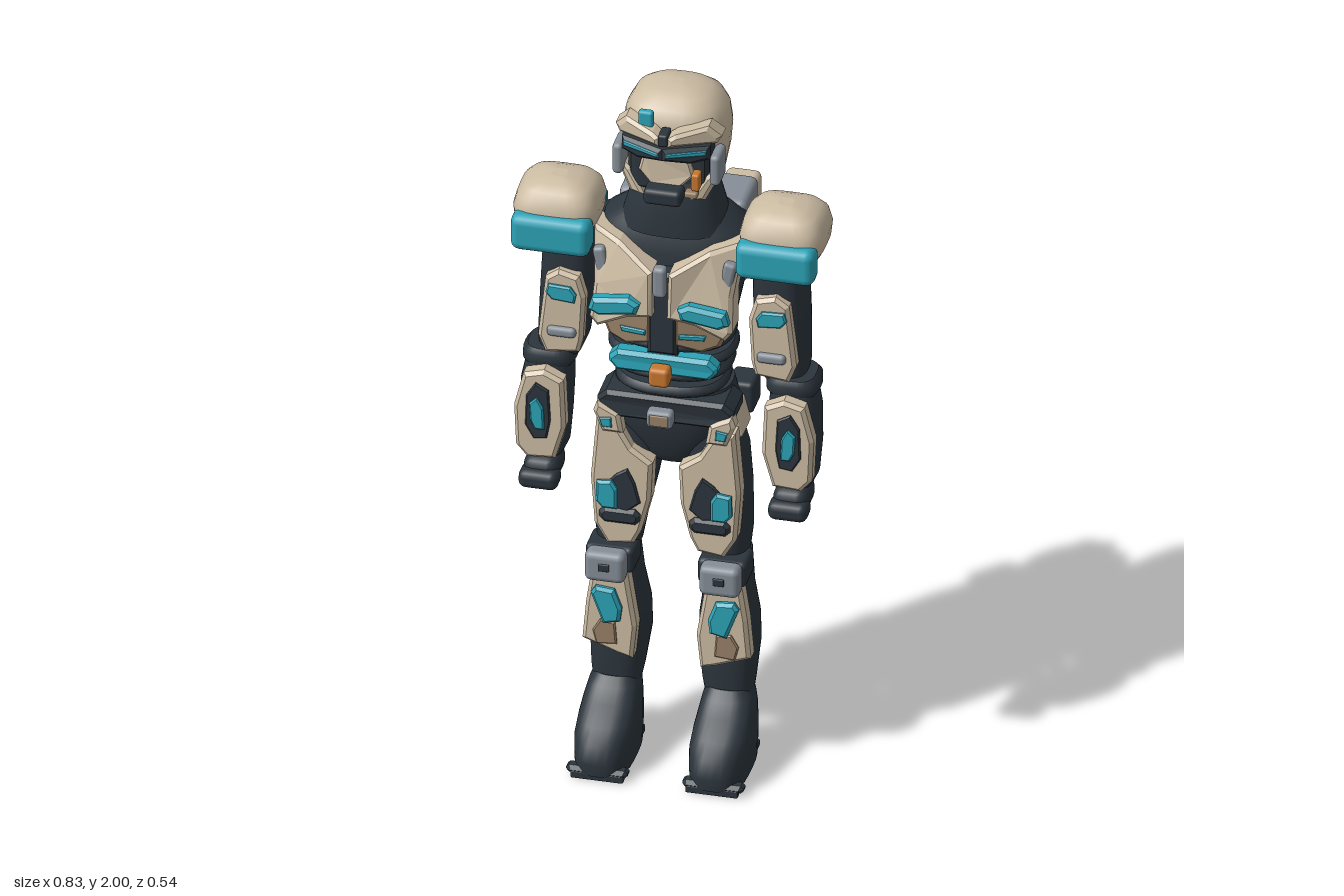
import * as THREE from 'three';
import { RoundedBoxGeometry } from 'three/addons/geometries/RoundedBoxGeometry.js';

const material = (name, color) => {
  const m = new THREE.MeshStandardMaterial({ color });
  m.name = name;
  return m;
};

export function createModel() {
  const root = new THREE.Group();
  root.name = 'armoredTrooper';
  const sand = material('sand', 0xcdbda4), dark = material('charcoal', 0x2c353d);
  const teal = material('teal', 0x2ba4b8), grey = material('grey', 0x868e97);
  const brown = material('brown', 0x9a8268), orange = material('orange', 0xc87830);

  const add = (name, mat, geo) => {
    const mesh = new THREE.Mesh(geo, mat);
    mesh.name = name;
    root.add(mesh);
    return mesh;
  };

  // Rounded box from centre and size
  const box = (name, mat, [x, y, z], [w, h, d], r = 0.012, tilt = 0) => {
    const geo = new RoundedBoxGeometry(w, h, d, 2, Math.min(r, w / 2.1, h / 2.1, d / 2.1));
    const mesh = add(name, mat, geo);
    mesh.position.set(x, y, z);
    mesh.rotation.z = tilt;
    return mesh;
  };

  // Smooth body from superellipse rings [y, rx, rz, cx, cz], bottom to top, with closed ends
  const loft = (name, mat, rings, s = 1, e = 2.5, n = 32) => {
    const first = rings[0], last = rings[rings.length - 1];
    const flat = r => [r[0], 0.0005, 0.0005, r[3], r[4]];
    const all = [flat(first), first, ...rings, last, flat(last)];
    const pos = [], index = [];
    const pw = v => Math.sign(v) * Math.abs(v) ** (2 / e);
    all.forEach(([y, rx, rz, cx = 0, cz = 0], j) => {
      for (let i = 0; i < n; i++) {
        const a = (i / n) * Math.PI * 2;
        pos.push(cx * s + pw(Math.cos(a)) * rx, y, cz + pw(Math.sin(a)) * rz);
        if (j === all.length - 1) continue;
        const p = j * n + i, q = j * n + (i + 1) % n;
        index.push(p, p + n, q, q, p + n, q + n);
      }
    });
    const geo = new THREE.BufferGeometry();
    geo.setAttribute('position', new THREE.Float32BufferAttribute(pos, 3));
    geo.setIndex(index);
    geo.computeVertexNormals();
    return add(name, mat, geo);
  };

  // Bevelled armour plate; z is its front face, bend(x, y) pushes it backwards
  const plate = (name, mat, pts, z, depth, s = 1, bend = null) => {
    const b = Math.min(0.01, depth / 3);
    const shape = new THREE.Shape(pts.map(([x, y]) => new THREE.Vector2(x * s, y)));
    const geo = new THREE.ExtrudeGeometry(shape, {
      depth: depth - 2 * b, bevelThickness: b, bevelSize: b, bevelOffset: -b, bevelSegments: 1,
    });
    geo.translate(0, 0, z - depth + b);
    if (bend) {
      const p = geo.attributes.position;
      for (let i = 0; i < p.count; i++) p.setZ(i, p.getZ(i) - bend(p.getX(i), p.getY(i)));
      geo.computeVertexNormals();
    }
    return add(name, mat, geo);
  };
  const slant = k => x => Math.abs(x) * k;
  // Rectangle with cut corners
  const octagon = (x0, x1, y0, y1, c) => [[x0 + c, y0], [x1 - c, y0], [x1, y0 + c], [x1, y1 - c],
    [x1 - c, y1], [x0 + c, y1], [x0, y1 - c], [x0, y0 + c]];

  // Torso, neck and pelvis
  loft('torso', dark, [[1.05, .15, .095, 0, .02], [1.15, .135, .09, 0, .02], [1.25, .145, .1, 0, .02],
    [1.35, .165, .115, 0, .015], [1.45, .185, .125, 0, .01], [1.55, .205, .12, 0, .005],
    [1.6, .19, .105, 0, 0], [1.64, .13, .09, 0, 0]]);
  loft('neckCollar', dark, [[1.6, .145, .11, 0, .01], [1.66, .128, .105, 0, .01], [1.71, .115, .095, 0, .01],
    [1.75, .1, .085, 0, .01]]);
  loft('pelvis', dark, [[.89, .06, .055, 0, .02], [.92, .095, .075, 0, .02], [1, .15, .1, 0, .02],
    [1.07, .17, .105, 0, .02], [1.13, .155, .1, 0, .02]]);
  for (const [y, rx] of [[1.15, .15], [1.2, .16], [1.245, .17], [1.29, .165]])
    loft('waistRib', dark, [[y - .016, rx - .01, .115, 0, .035], [y - .006, rx, .125, 0, .035],
      [y + .006, rx, .125, 0, .035], [y + .016, rx - .01, .115, 0, .035]]);

  // Helmet and face
  loft('helmet', sand, [[1.69, .07, .06, 0, -.005], [1.705, .1, .085, 0, -.005], [1.75, .122, .108, 0, -.008],
    [1.82, .135, .118, 0, -.01], [1.88, .14, .121, 0, -.01], [1.93, .133, .117, 0, -.01],
    [1.965, .114, .1, 0, -.012], [1.985, .085, .075, 0, -.013], [1.996, .05, .045, 0, -.014],
    [2, .015, .015, 0, -.014]], 1, 2.7);
  plate('faceRecess', dark, octagon(-.108, .108, 1.735, 1.9, .03), .135, .08, 1, slant(.3));
  plate('faceMask', sand, [[-.04, 1.765], [.04, 1.765], [.075, 1.8], [.06, 1.86], [-.06, 1.86], [-.075, 1.8]],
    .142, .02, 1, slant(.25));
  box('chinGuard', dark, [0, 1.75, .145], [.1, .045, .06]);
  box('mouthpiece', orange, [.085, 1.8, .14], [.022, .05, .035], .006);
  box('mouthpieceArm', brown, [.075, 1.765, .15], [.035, .018, .03], .006);
  for (const s of [1, -1]) {
    plate('visor', dark, [[0, 1.865], [.07, 1.85], [.118, 1.86], [.118, 1.9], [0, 1.9]], .18, .07, s, slant(.4));
    plate('visorStrip', teal, [[.01, 1.878], [.11, 1.878], [.112, 1.893], [.01, 1.89]], .185, .008, s, slant(.4));
    plate('brow', sand, [[.012, 1.9], [.13, 1.895], [.142, 1.915], [.11, 1.95], [.03, 1.935], [.012, 1.925]],
      .172, .06, s, slant(.5));
    plate('jawGuard', sand, [[.06, 1.72], [.1, 1.72], [.13, 1.78], [.128, 1.81], [.1, 1.79]], .14, .06, s, slant(.3));
    box('earPod', grey, [s * .13, 1.825, .09], [.028, .09, .08]);
  }
  box('browNotch', dark, [0, 1.92, .14], [.026, .035, .05], .006);
  box('browLight', teal, [-.055, 1.955, .117], [.04, .05, .022], .008);

  // Chest and abdomen armour
  const chestBend = (x, y) => Math.abs(x) * (.1 + 2 * Math.max(0, y - 1.38));
  plate('sternum', dark, [[-.04, 1.27], [.04, 1.27], [.04, 1.52], [-.04, 1.52]], .17, .08);
  box('sternumBar', grey, [0, 1.51, .19], [.036, .09, .035]);
  for (const s of [1, -1]) {
    plate('chestPlate', sand, [[.2, 1.6], [.12, 1.585], [.022, 1.53], [.02, 1.4], [.09, 1.385], [.17, 1.345],
      [.19, 1.37], [.185, 1.46]], .206, .085, s, chestBend);
    plate('chestPad', teal, [[.06, 1.41], [.16, 1.395], [.188, 1.41], [.178, 1.445], [.08, 1.457], [.05, 1.44]],
      .218, .04, s);
    box('chestVent', grey, [s * .168, 1.515, .135], [.034, .09, .03], .01, -s * .2);
    plate('abdomenPlate', brown, [[.03, 1.3], [.1, 1.28], [.15, 1.3], [.175, 1.36], [.13, 1.385], [.03, 1.4]],
      .175, .06, s, slant(.2));
    plate('abdomenStrip', teal, [[.045, 1.325], [.11, 1.322], [.115, 1.337], [.045, 1.34]], .182, .01, s, slant(.2));
  }
  plate('waistPlate', teal, octagon(-.145, .145, 1.205, 1.265, .022), .185, .05, 1, slant(.15));
  box('waistClasp', orange, [0, 1.222, .19], [.055, .055, .045]);

  // Belt and pouches
  plate('belt', dark, octagon(-.182, .182, 1.045, 1.122, .025), .182, .12, 1, slant(.25));
  box('buckle', grey, [0, 1.09, .185], [.07, .05, .04]);
  box('buckleInset', brown, [0, 1.09, .204], [.05, .032, .008], .003);
  box('backPouch', dark, [0, 1.055, -.083], [.085, .09, .05]);
  box('sidePouch', dark, [.165, 1.055, -.055], [.07, .09, .09]);

  // Backpack
  box('backpack', dark, [0, 1.41, -.11], [.25, .26, .15], .025);
  box('backpackSidePod', dark, [-.195, 1.42, -.1], [.08, .2, .14], .02);
  box('backpackCanister', brown, [-.214, 1.38, -.178], [.072, .14, .032]);
  box('backpackKnob', dark, [0, 1.47, -.225], [.042, .1, .08], .015);
  box('backpackKnobTip', teal, [0, 1.49, -.27], [.024, .04, .014], .005);
  for (const s of [1, -1]) {
    box('packRail', grey, [s * .113, 1.5, -.125], [.115, .25, .15], .02);
    box('packPod', sand, [s * .117, 1.49, -.233], [.094, .225, .064], .018);
    box('packLight', teal, [s * .117, 1.45, -.267], [.075, .095, .02], .008);
  }

  for (const s of [1, -1]) {
    // Shoulders
    loft('shoulderDome', sand, [[1.58, .1, .098, .302, .046], [1.6, .11, .106, .302, .046],
      [1.635, .114, .109, .302, .046], [1.67, .105, .1, .302, .046], [1.692, .085, .08, .302, .046],
      [1.705, .055, .052, .302, .046], [1.711, .02, .02, .302, .046]], s, 3.6);
    box('shoulderFlange', teal, [s * .3, 1.588, .143], [.212, .105, .075], .025);
    plate('shoulderBackPlate', teal, octagon(.2, .38, 1.55, 1.635, .03), -.035, .035, s);
    plate('shoulderBackInset', dark, [[.25, 1.56], [.33, 1.56], [.35, 1.6], [.29, 1.635], [.23, 1.6]], -.06, .016, s);

    // Upper arm
    loft('upperArm', dark, [[1.18, .055, .06, .3, .03], [1.22, .066, .07, .295, .025], [1.35, .072, .08, .285, .015],
      [1.5, .07, .082, .28, .01], [1.6, .06, .07, .28, .01]], s, 2.8);
    plate('upperArmPlate', sand, [[.235, 1.21], [.325, 1.2], [.345, 1.25], [.325, 1.43], [.29, 1.455],
      [.235, 1.44], [.218, 1.38], [.225, 1.25]], .118, .045, s);
    plate('upperArmPad', teal, [[.245, 1.365], [.305, 1.37], [.322, 1.39], [.315, 1.415], [.255, 1.412], [.24, 1.39]],
      .128, .014, s);
    box('upperArmClip', grey, [s * .28, 1.272, .118], [.078, .03, .025]);

    // Forearm and hand
    loft('elbowCuff', dark, [[1.145, .06, .06, .325, .045], [1.16, .07, .07, .325, .045],
      [1.185, .07, .07, .325, .045], [1.2, .058, .06, .325, .045]], s, 3);
    loft('forearm', dark, [[.88, .045, .05, .333, .065], [.91, .06, .06, .333, .065], [1.0, .067, .068, .333, .062],
      [1.1, .068, .07, .33, .058], [1.16, .06, .065, .326, .05]], s, 2.8);
    plate('forearmPlate', sand, [[.29, .9], [.365, .895], [.395, .93], [.4, 1.05], [.375, 1.15], [.32, 1.165],
      [.268, 1.14], [.262, 1.0]], .155, .05, s);
    plate('forearmInset', dark, [[.31, .965], [.345, .96], [.368, 1.0], [.365, 1.09], [.34, 1.13], [.305, 1.11], [.3, 1.02]],
      .162, .012, s);
    plate('forearmLight', teal, [[.315, .995], [.34, .995], [.352, 1.02], [.355, 1.07], [.335, 1.09], [.318, 1.06]],
      .17, .012, s);
    box('wristBox', grey, [s * .333, .868, .004], [.075, .045, .06]);
    box('hand', dark, [s * .333, .85, .09], [.095, .075, .12], .03);
    box('fingers', dark, [s * .333, .835, .14], [.105, .052, .07], .02);

    // Hip plate
    box('hipPlate', sand, [s * .165, 1.03, .035], [.045, .085, .1], .012, s * .25);
    plate('hipFlap', sand, [[.11, 1], [.165, 1], [.19, 1.06], [.18, 1.09], [.12, 1.06]], .15, .05, s);
    plate('hipLight', teal, [[.138, 1.02], [.165, 1.02], [.172, 1.045], [.14, 1.05]], .156, .009, s);

    // Thigh
    loft('thigh', dark, [[.62, .058, .06, .143, .035], [.7, .07, .068, .14, .035], [.82, .082, .078, .125, .03],
      [.93, .086, .082, .11, .022], [1.02, .07, .075, .1, .02]], s);
    plate('thighPlate', sand, [[.085, .66], [.155, .65], [.19, .71], [.2, .85], [.185, 1.03], [.13, 1.02],
      [.09, .95], [.035, .91], [.04, .8], [.065, .7]], .135, .06, s);
    plate('thighInset', dark, [[.065, .79], [.1, .76], [.15, .77], [.165, .83], [.13, .87], [.1, .89], [.08, .85]],
      .142, .014, s);
    plate('thighLight', teal, [[.125, .77], [.165, .77], [.182, .79], [.18, .85], [.14, .855], [.125, .83]],
      .155, .02, s);
    plate('thighStrap', dark, octagon(.065, .175, .722, .768, .014), .148, .05, s);

    // Knee and shin
    box('kneeBlock', dark, [s * .15, .602, .085], [.13, .075, .1], .015);
    box('kneePad', grey, [s * .153, .6, .152], [.108, .088, .056], .018);
    box('kneeStud', dark, [s * .153, .605, .181], [.03, .022, .006], .003);
    loft('shin', dark, [[.18, .06, .055, .15, .04], [.24, .07, .06, .148, .035], [.34, .08, .079, .145, .016],
      [.42, .078, .075, .145, .017], [.52, .065, .06, .147, .03], [.63, .057, .052, .15, .034]], s);
    plate('shinPlate', sand, [[.09, .3], [.13, .31], [.225, .345], [.215, .46], [.2, .56], [.105, .56], [.08, .4]],
      .125, .055, s);
    plate('shinLight', teal, [[.12, .42], [.165, .41], [.198, .5], [.185, .52], [.135, .515], [.115, .46]],
      .146, .025, s);
    plate('shinPatch', brown, [[.13, .345], [.185, .34], [.195, .38], [.175, .415], [.135, .41]], .132, .012, s);

    // Boot
    loft('boot', dark, [[.015, .077, .14, .153, .122], [.05, .079, .143, .153, .122], [.1, .08, .138, .153, .117],
      [.135, .077, .118, .153, .098], [.17, .072, .088, .153, .07], [.2, .066, .066, .152, .052],
      [.225, .054, .052, .15, .045]], s, 2.8);
    plate('toeCap', dark, octagon(.073, .237, .012, .034, .008), .275, .04, s, x => Math.abs(Math.abs(x) - .155) * .25);
    for (let i = 0; i < 4; i++)
      box('soleCleat', dark, [s * .153, .011, .245 - i * .04], [.14, .022, .024], .004);
    box('heel', dark, [s * .153, .011, .035], [.13, .022, .1], .006);
    box('heelBlock', grey, [s * .153, .113, -.02], [.1, .085, .055], .015);
  }
  return root;
}
